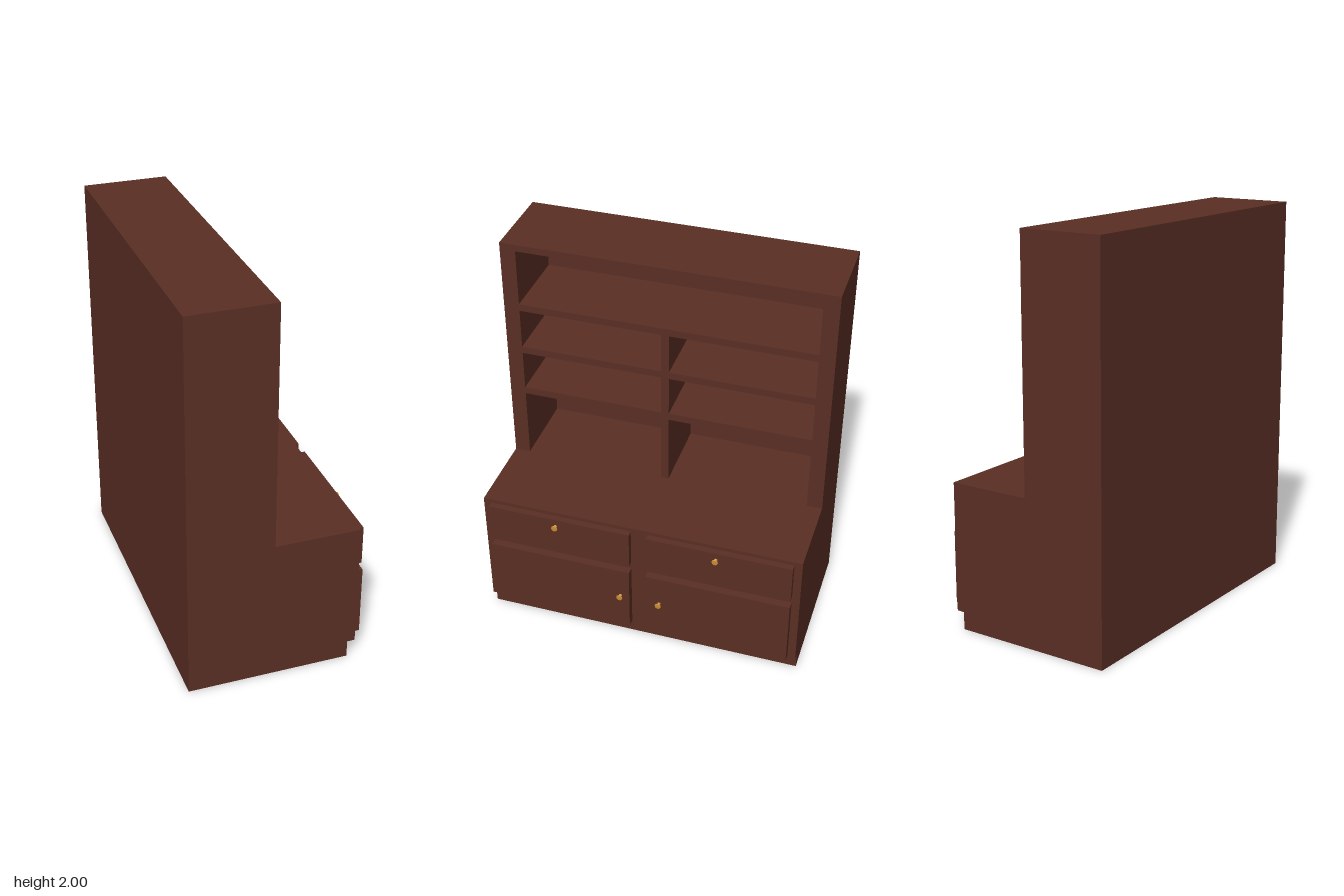
import * as THREE from 'three';

export function createModel() {
  const model = new THREE.Group();
  model.name = 'hutchCabinet';
  const wood = new THREE.MeshStandardMaterial({ color: 0x5a2e24 });
  wood.name = 'dark wood';
  const brass = new THREE.MeshStandardMaterial({ color: 0xc68a32, flatShading: true });
  brass.name = 'brass';

  // Box given by its min and max on each axis
  function box(name, x0, x1, y0, y1, z0, z1) {
    const mesh = new THREE.Mesh(new THREE.BoxGeometry(x1 - x0, y1 - y0, z1 - z0), wood);
    mesh.position.set((x0 + x1) / 2, (y0 + y1) / 2, (z0 + z1) / 2);
    mesh.name = name;
    model.add(mesh);
  }

  const back = -0.47, hutchFront = -0.035, baseFront = 0.40, halfW = 0.835;
  const inner = 0.755, counter = 0.75, panel = back + 0.03;

  // Lower cabinet
  box('plinth', back, 0.36, 0, 0.09, -halfW, halfW);
  box('baseCabinet', back, baseFront, 0.09, counter, -halfW, halfW);

  // Open shelving above
  box('backPanel', back, panel, counter, 2, -inner, inner);
  box('topBoard', panel, hutchFront, 1.965, 2, -inner, inner);
  for (const y of [1.13, 1.38, 1.63]) {
    box('shelf', panel, hutchFront, y, y + 0.038, -inner, inner);
  }
  for (const [y0, y1] of [[counter, 1.13], [1.168, 1.38], [1.418, 1.63]]) {
    box('divider', panel, hutchFront, y0, y1, -0.02, 0.02);
  }

  // Flared knob pointing along +x
  const knobProfile = [[0.009, 0], [0.005, 0.008], [0.006, 0.012], [0.017, 0.019], [0.015, 0.023], [0, 0.024]]
    .map(([r, h]) => new THREE.Vector2(r, h));
  const knobGeometry = new THREE.LatheGeometry(knobProfile, 10);
  function knob(name, x, y, z) {
    const mesh = new THREE.Mesh(knobGeometry, brass);
    mesh.rotation.z = -Math.PI / 2;
    mesh.position.set(x, y, z);
    mesh.name = name;
    model.add(mesh);
  }

  // Hutch sides, drawers and doors in pairs
  for (const s of [1, -1]) {
    const span = (a, b) => (s > 0 ? [a, b] : [-b, -a]);
    box('sideBoard', back, hutchFront, counter, 2, ...span(inner, halfW));
    box('drawerFront', baseFront, 0.433, 0.525, 0.73, ...span(0.043, 0.794));
    box('door', baseFront, 0.441, 0.11, 0.482, ...span(0.043, 0.794));
    knob('drawerKnob', 0.433, 0.69, s > 0 ? 0.433 : -0.408);
    knob('doorKnob', 0.441, 0.315, s > 0 ? 0.091 : -0.117);
  }
  return model;
}
